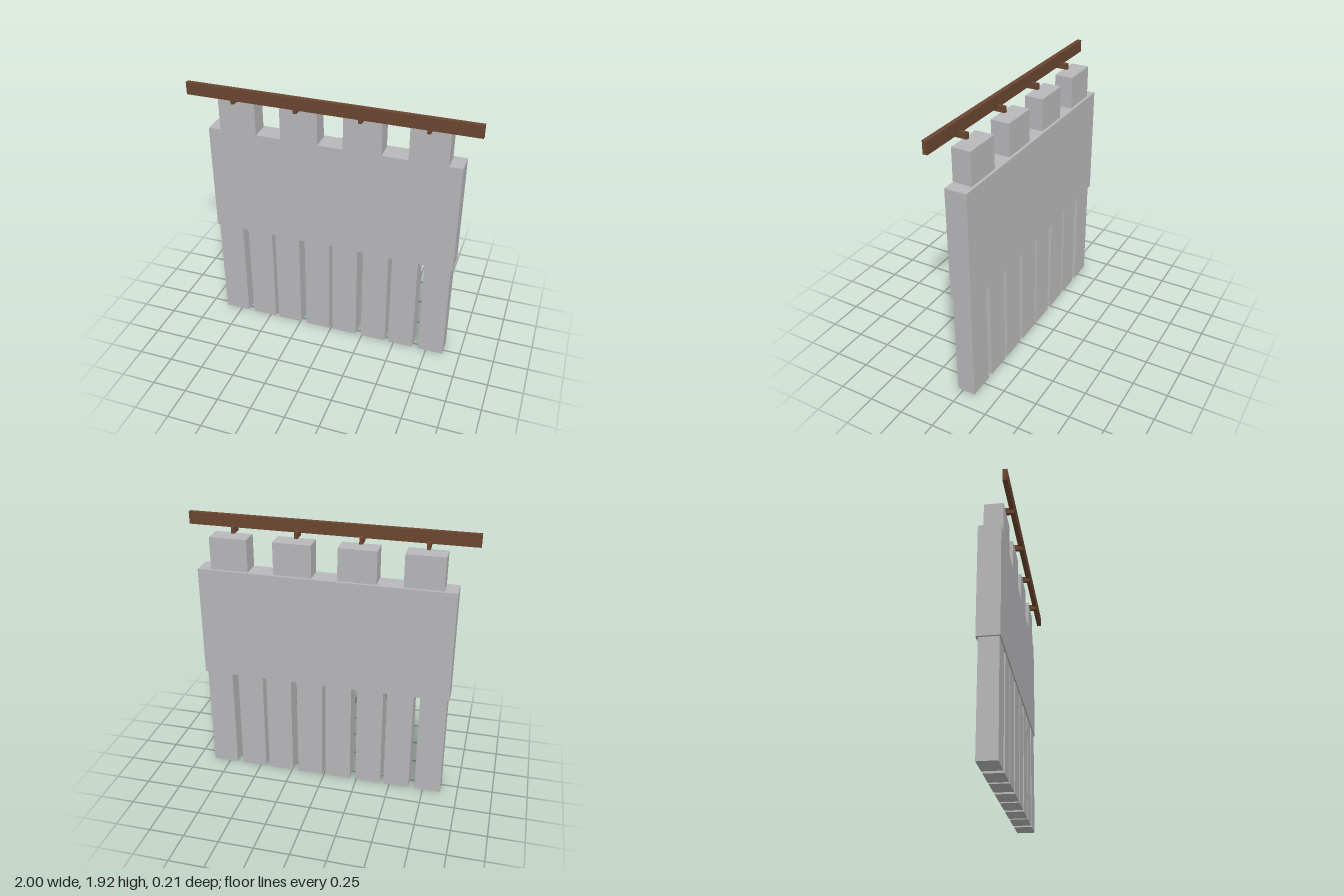
import * as THREE from 'three';

export function createModel() {
  const model = new THREE.Group();
  const stone = new THREE.MeshStandardMaterial({ color: 0xb8b8ba });
  stone.name = 'grey stone';
  const wood = new THREE.MeshStandardMaterial({ color: 0x6b4630 });
  wood.name = 'brown wood';

  // Box given by its limits on each axis
  function box(name, material, [x0, x1], [y0, y1], [z0, z1]) {
    const mesh = new THREE.Mesh(new THREE.BoxGeometry(x1 - x0, y1 - y0, z1 - z0), material);
    mesh.position.set((x0 + x1) / 2, (y0 + y1) / 2, (z0 + z1) / 2);
    mesh.name = name;
    model.add(mesh);
  }
  const span = (centre, width) => [centre - width / 2, centre + width / 2];

  // Main wall slab
  box('wall', stone, [-0.89, 0.89], [0.78, 1.58], [-0.105, 0.048]);

  // Eight posts under the wall, in mirrored pairs
  for (const x of [0.107, 0.337, 0.551, 0.783]) {
    for (const side of [-1, 1]) {
      box('post', stone, span(side * x, 0.187), [0, 0.78], [-0.092, 0.04]);
    }
  }

  // Raised blocks along the top, each with a bracket holding the rail
  for (const x of [-0.668, -0.224, 0.22, 0.666]) {
    box('topBlock', stone, span(x, 0.265), [1.58, 1.81], [-0.085, 0.048]);
    box('railBracket', wood, span(x - 0.002, 0.024), [1.812, 1.855], [0.017, 0.1]);
  }

  // Long rail in front of the blocks
  box('rail', wood, [-1, 1], [1.838, 1.925], [0.07, 0.102]);

  return model;
}
